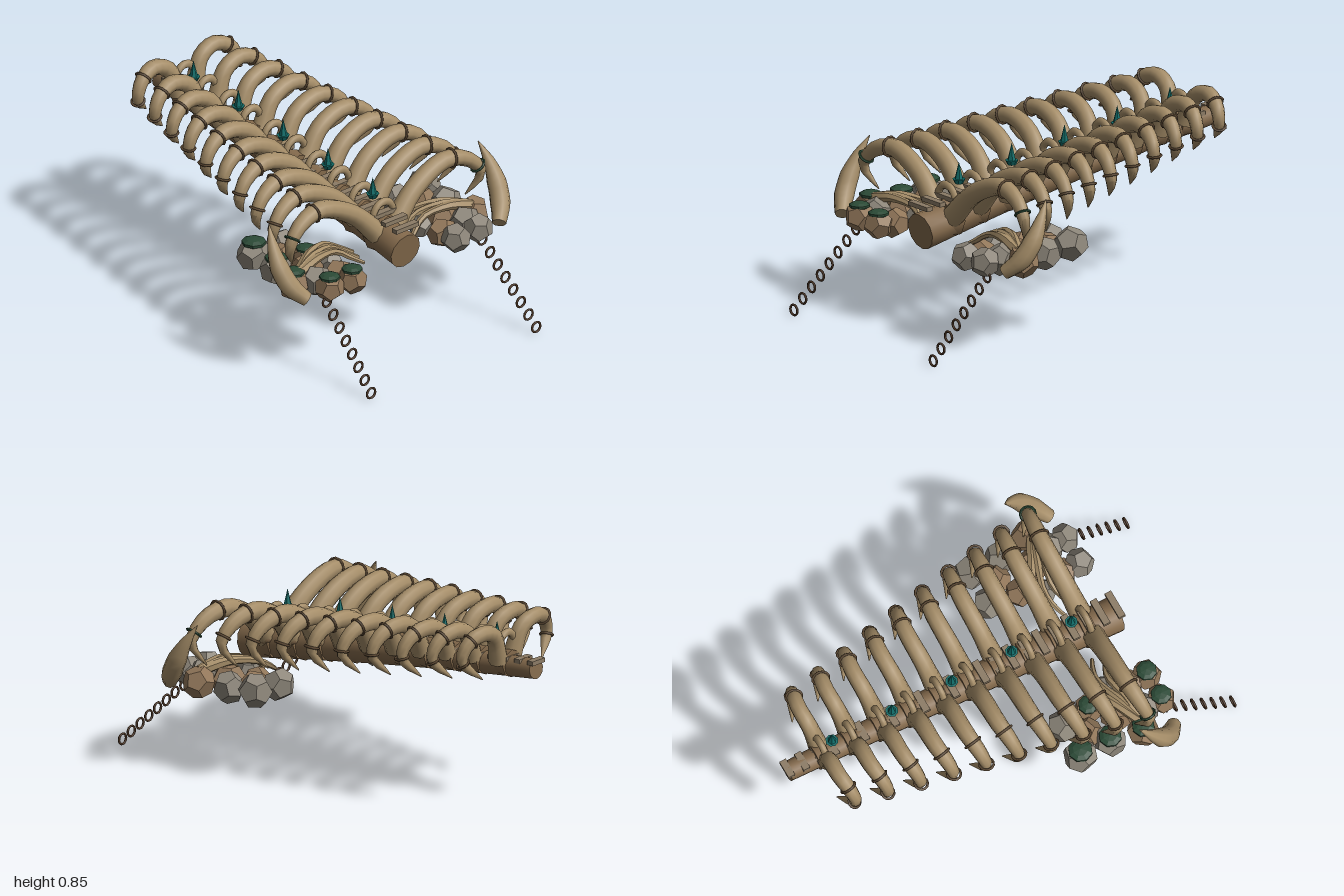
import * as THREE from 'three';
import { toCreasedNormals } from 'three/addons/utils/BufferGeometryUtils.js';

const V = (x, y, z) => new THREE.Vector3(x, y, z);
const lerp = THREE.MathUtils.lerp;
const mat = (color, flatShading = false) => new THREE.MeshStandardMaterial({ color, flatShading });

const bone = mat(0xa58d68), spineMat = mat(0x846a4c), plankMat = mat(0x8c7c66, true);
const bandMat = mat(0x5c4833), greenMat = mat(0x2b4a36, true), tealMat = mat(0x12706c, true);
const greyRock = mat(0x8d867a, true), tanRock = mat(0x92775a, true), chainMat = mat(0x4a3322);

function add(parent, name, geo, material, pos) {
  const mesh = new THREE.Mesh(geo, material);
  mesh.name = name;
  if (pos) mesh.position.copy(pos);
  parent.add(mesh);
  return mesh;
}

// Closed tube along points, with radius interpolated from a list
function taperedTube(points, radii, seg = 16, sides = 9) {
  const curve = new THREE.CatmullRomCurve3(points);
  const geo = new THREE.TubeGeometry(curve, seg, 1, sides);
  const p = geo.attributes.position, v = new THREE.Vector3();
  for (let i = 0; i <= seg; i++) {
    const u = THREE.MathUtils.clamp((i - 1) / (seg - 2), 0, 1);
    const f = u * (radii.length - 1), k = Math.min(Math.floor(f), radii.length - 2);
    const r = i === 0 || i === seg ? 0 : lerp(radii[k], radii[k + 1], f - k);
    const from = curve.getPointAt(i / seg), to = curve.getPointAt(u);
    for (let j = 0; j <= sides; j++) {
      const n = i * (sides + 1) + j;
      v.fromBufferAttribute(p, n).sub(from).multiplyScalar(r).add(to);
      p.setXYZ(n, v.x, v.y, v.z);
    }
  }
  return toCreasedNormals(geo, 0.9);
}

// Ring wrapped around a curve at fraction u
function band(parent, points, u, radius, material) {
  const curve = new THREE.CatmullRomCurve3(points);
  const ring = add(parent, 'ribBand', new THREE.TorusGeometry(radius, 0.006, 5, 12), material, curve.getPointAt(u));
  ring.quaternion.setFromUnitVectors(V(0, 0, 1), curve.getTangentAt(u));
}

const spineY = z => {
  const s = (0.68 - z) / 1.66;
  return 0.44 + 0.261 * s - 0.056 * s * s;
};
const spineR = z => lerp(0.083, 0.046, (0.68 - z) / 1.66);

export function createModel() {
  const model = new THREE.Group();
  model.name = 'boneBridge';

  // Spine: long tapering bone rising to the back
  const spinePts = [];
  for (let i = 0; i <= 6; i++) {
    const z = lerp(0.67, -0.98, i / 6);
    spinePts.push(V(0, spineY(z), z));
  }
  add(model, 'spine', taperedTube(spinePts, [0.083, 0.046], 20, 12), spineMat);

  // Walkway planks above the spine
  const planks = new THREE.Group();
  planks.name = 'planks';
  model.add(planks);
  for (let i = 0; i < 23; i++) {
    const t = i / 22;
    add(planks, 'plank', new THREE.BoxGeometry(lerp(0.13, 0.085, t), 0.02, 0.032), plankMat,
      V(0, lerp(0.56, 0.68, t), lerp(0.67, -0.98, t)));
  }

  // Ten vertebrae, each with a collar, a hoop and a pair of hooked ribs
  for (let i = 0; i < 10; i++) {
    const t = i / 9, z = 0.52 - 0.148 * i, y = spineY(z), r = spineR(z);
    const vertebra = new THREE.Group();
    vertebra.name = 'vertebra';
    model.add(vertebra);
    const collar = add(vertebra, 'collar', new THREE.CylinderGeometry(r + 0.008, r + 0.014, 0.06, 8), spineMat, V(0, y + 0.012, z));
    collar.rotation.x = Math.PI / 2;
    const hoop = add(vertebra, 'hoop', new THREE.TorusGeometry(lerp(0.06, 0.05, t), 0.016, 7, 12, Math.PI), bone, V(0, y + 0.09, z));
    hoop.scale.y = 1.2;

    const rootY = y + 0.025;
    for (const s of [1, -1]) {
      const pts = [
        V(s * 0.045, rootY, z + 0.01),
        V(s * (0.045 + lerp(0.14, 0.05, t)), rootY + lerp(0.14, 0.13, t), z - 0.005),
        V(s * lerp(0.37, 0.18, t), lerp(0.705, 0.817, t), z - 0.01),
        V(s * lerp(0.5, 0.255, t), lerp(0.665, 0.785, t), z + 0.005),
        V(s * lerp(0.555, 0.287, t), lerp(0.585, 0.71, t), z + 0.015),
        V(s * lerp(0.5, 0.2, t), lerp(0.48, 0.615, t), z - 0.03),
      ];
      const k = lerp(1, 0.84, t);
      add(vertebra, s > 0 ? 'leftRib' : 'rightRib',
        taperedTube(pts, [0.052, 0.046, 0.044, 0.042, 0.036, 0.026, 0.003].map(a => a * k), 18, 9), bone);
      band(vertebra, pts, 0.56, 0.043 * k, bandMat);
      band(vertebra, pts, 0.77, 0.034 * k, i === 0 ? greenMat : bandMat);
      const knob = add(vertebra, 'ribRoot', new THREE.SphereGeometry(0.034 * k, 9, 7), spineMat, V(s * (r - 0.005), y + 0.035, z));
      knob.scale.z = 1.2;
    }
  }

  // Teal crystals along the crest
  for (let i = 0; i < 5; i++) {
    const c = new THREE.Group();
    c.name = 'crystal';
    c.position.set(0, lerp(0.635, 0.735, i / 4), lerp(0.45, -0.755, i / 4));
    model.add(c);
    add(c, 'crystalPoint', new THREE.ConeGeometry(0.021, 0.085, 6), tealMat, V(0, 0.042, 0));
    add(c, 'crystalBase', new THREE.CylinderGeometry(0.029, 0.018, 0.022, 8), tealMat, V(0, -0.005, 0));
  }

  // Rocks on the left: x, y, z, radius, grey flag
  const rocks = [
    [0.33, 0.405, 0.22, 0.075, 1], [0.49, 0.415, 0.22, 0.08, 1], [0.41, 0.40, 0.30, 0.07, 0],
    [0.31, 0.39, 0.36, 0.065, 0], [0.49, 0.40, 0.37, 0.075, 1], [0.26, 0.40, 0.46, 0.06, 1],
    [0.39, 0.39, 0.46, 0.08, 0], [0.52, 0.40, 0.52, 0.075, 0], [0.30, 0.39, 0.57, 0.07, 0],
    [0.43, 0.40, 0.57, 0.075, 1], [0.30, 0.40, 0.66, 0.068, 1], [0.43, 0.405, 0.66, 0.068, 1],
  ];
  for (const s of [1, -1]) {
    const side = s > 0 ? 'left' : 'right';
    const cluster = new THREE.Group();
    cluster.name = side + 'RockCluster';
    model.add(cluster);
    rocks.forEach(([x, y, z, r, grey], i) => {
      // Right side has more tan rocks, topped with green moss
      const mossy = s < 0 && [1, 3, 4, 7, 10, 11].includes(i);
      const rock = add(cluster, 'rock', new THREE.DodecahedronGeometry(r), grey && !(mossy && i > 9) ? greyRock : tanRock, V(s * x, y, z));
      rock.rotation.set(i * 0.7, i * 1.3, 0);
      if (mossy) {
        const moss = add(cluster, 'moss', new THREE.SphereGeometry(r * 0.72, 8, 5), greenMat, V(s * x, y + r * 0.75, z));
        moss.scale.y = 0.35;
      }
    });

    // Bony hand lying over the rocks, fingers pointing to the spine
    const hand = new THREE.Group();
    hand.name = side + 'Hand';
    model.add(hand);
    for (let f = 0; f < 3; f++) {
      const dz = (f - 1) * 0.045;
      add(hand, 'finger', taperedTube([
        V(s * 0.5, 0.445, 0.53), V(s * 0.38, 0.475, 0.49 + dz * 0.6), V(s * 0.25, 0.455, 0.45 + dz),
        V(s * (0.17 + f * 0.01), 0.415, 0.46 + dz * 1.2), V(s * (0.1 + f * 0.015), 0.378, 0.49 + dz * 1.2),
      ], [0.026, 0.022, 0.016, 0.014, 0.009], 12, 6), bone);
    }

    // Upright tusk at the outer front corner
    add(model, side + 'Tusk', taperedTube([
      V(s * 0.555, 0.385, 0.655), V(s * 0.605, 0.44, 0.605), V(s * 0.628, 0.52, 0.555),
      V(s * 0.625, 0.61, 0.505), V(s * 0.605, 0.695, 0.455),
    ], [0.032, 0.046, 0.044, 0.026, 0.002], 14, 9), bone);

    // Hanging chain of rings
    const chain = new THREE.Group();
    chain.name = side + 'Chain';
    model.add(chain);
    for (let i = 0; i < 8; i++) {
      const t = i / 7;
      add(chain, 'link', new THREE.TorusGeometry(0.024, 0.0055, 6, 14), chainMat,
        V(s * lerp(0.45, 0.478, t), lerp(0.342, 0.03, t), lerp(0.665, 0.994, t)));
    }
  }
  return model;
}
